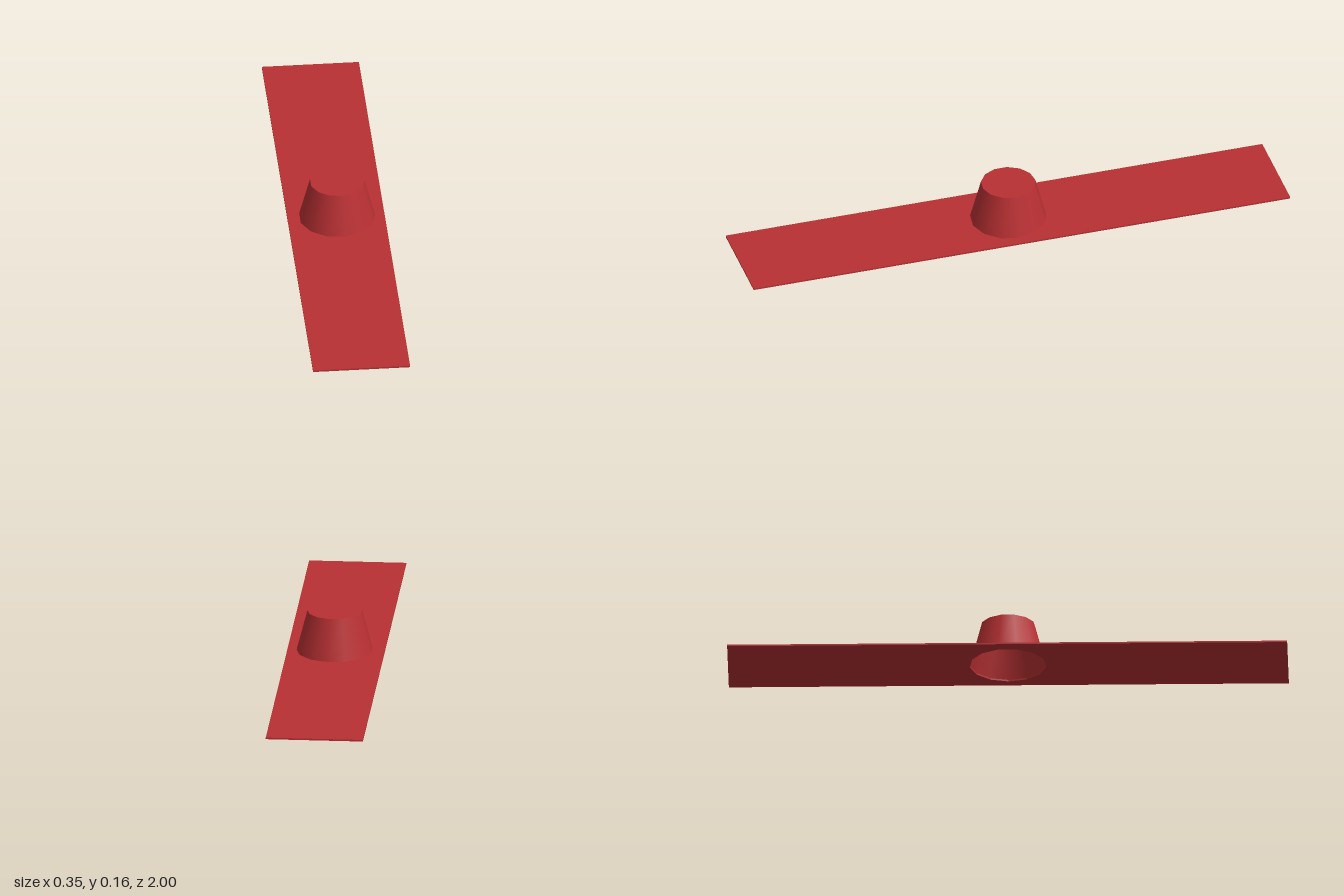
import * as THREE from 'three';

const SIDES = 13;
const PLATE = { width: 0.348, length: 2, thickness: 0.006 };
const HUB = { x: 0.004, baseRadius: 0.137, topRadius: 0.098, top: 0.155 };

export function createModel() {
  const group = new THREE.Group();
  const red = new THREE.MeshStandardMaterial({ color: 0xb93033, side: THREE.DoubleSide });

  const add = (name, geometry, x = 0, y = 0) => {
    const mesh = new THREE.Mesh(geometry, red);
    mesh.name = name;
    mesh.position.set(x, y, 0);
    group.add(mesh);
  };

  // Thin strip with a faceted opening under the hub
  const w = PLATE.width / 2, l = PLATE.length / 2;
  const strip = new THREE.Shape([
    new THREE.Vector2(-w, -l), new THREE.Vector2(w, -l),
    new THREE.Vector2(w, l), new THREE.Vector2(-w, l),
  ]);
  const opening = [];
  for (let i = 0; i < SIDES; i++) {
    const a = -i / SIDES * Math.PI * 2;
    opening.push(new THREE.Vector2(HUB.x + HUB.baseRadius * Math.cos(a), HUB.baseRadius * Math.sin(a)));
  }
  strip.holes.push(new THREE.Path(opening));
  const plate = new THREE.ExtrudeGeometry(strip, { depth: PLATE.thickness, bevelEnabled: false });
  plate.rotateX(-Math.PI / 2);
  add('basePlate', plate);

  // Hollow tapered hub, open at the bottom, with a flat lid
  const height = HUB.top - PLATE.thickness;
  add('hubWall', new THREE.CylinderGeometry(HUB.topRadius, HUB.baseRadius, height, SIDES, 1, true, Math.PI / 2),
    HUB.x, PLATE.thickness + height / 2);
  add('hubLid', new THREE.CircleGeometry(HUB.topRadius, SIDES).rotateX(-Math.PI / 2), HUB.x, HUB.top);

  return group;
}
